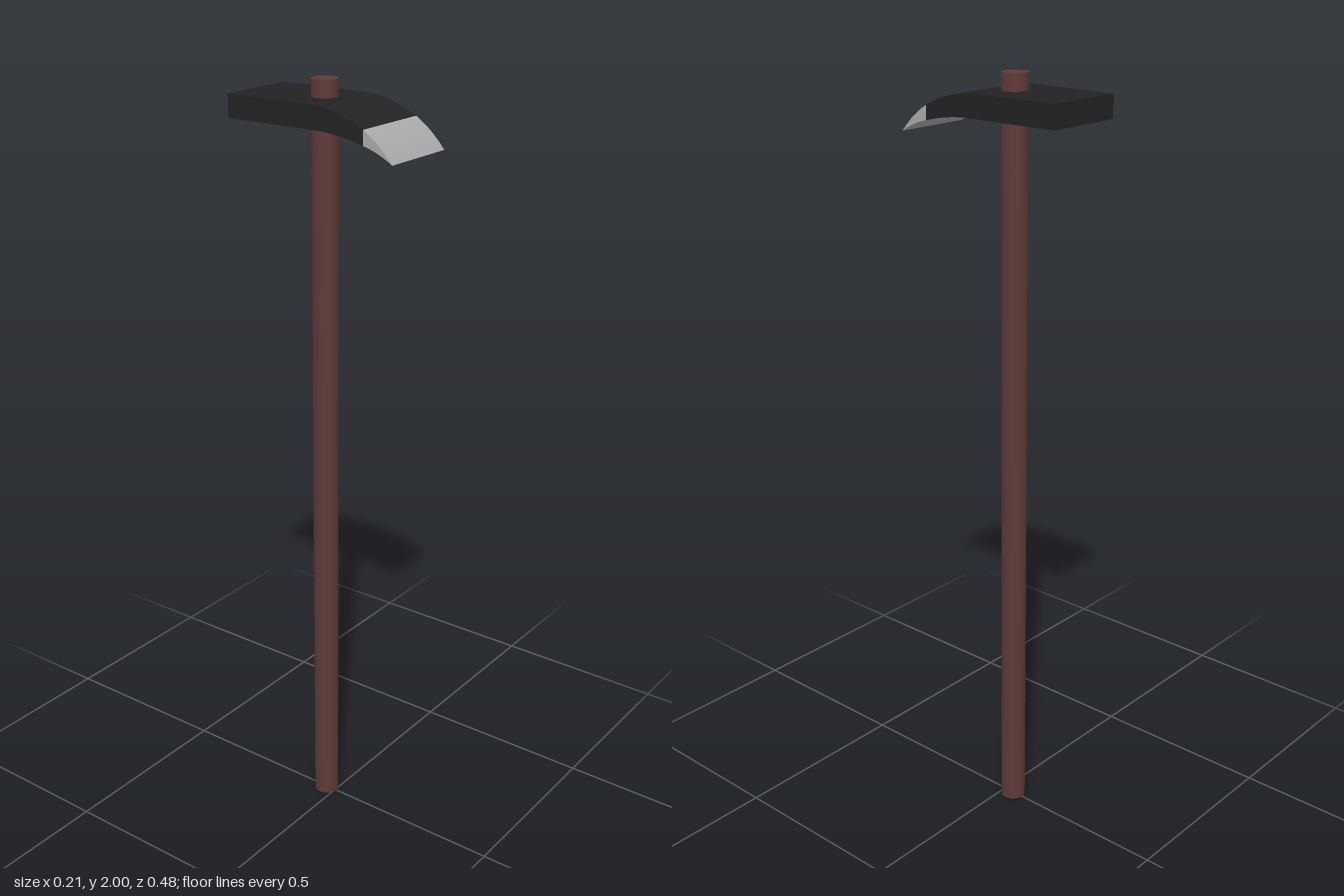
import * as THREE from 'three';

const WIDTH = 0.214;

// Extrudes a side profile (points as [z, y]) across the width of the head
function slab(name, color, draw) {
  const shape = new THREE.Shape();
  draw(shape);
  const geometry = new THREE.ExtrudeGeometry(shape, { depth: WIDTH, bevelEnabled: false, curveSegments: 5 });
  geometry.translate(0, 0, -WIDTH / 2).rotateY(-Math.PI / 2);
  const mesh = new THREE.Mesh(geometry, new THREE.MeshStandardMaterial({ color }));
  mesh.name = name;
  return mesh;
}

export function createModel() {
  const model = new THREE.Group();
  model.name = 'hoe';

  // Long round wooden handle passing through the head
  const handle = new THREE.Mesh(
    new THREE.CylinderGeometry(0.033, 0.033, 2, 32),
    new THREE.MeshStandardMaterial({ color: 0x5d3a37 })
  );
  handle.name = 'handle';
  handle.position.set(0, 1, -0.03);
  model.add(handle);

  // Dark head: flat block at the back, curving down at the front
  model.add(slab('head', 0x222222, (s) => {
    s.moveTo(-0.238, 1.9);
    s.lineTo(0, 1.9);
    s.quadraticCurveTo(0.08, 1.902, 0.157, 1.881);
    s.lineTo(0.157, 1.917);
    s.quadraticCurveTo(0.08, 1.958, 0, 1.958);
    s.lineTo(-0.238, 1.958);
  }));

  // Bare steel cutting edge tapering to a thin tip
  model.add(slab('cuttingEdge', 0xaaaaaa, (s) => {
    s.moveTo(0.157, 1.881);
    s.quadraticCurveTo(0.2, 1.871, 0.238, 1.847);
    s.quadraticCurveTo(0.202, 1.891, 0.157, 1.917);
  }));

  return model;
}
